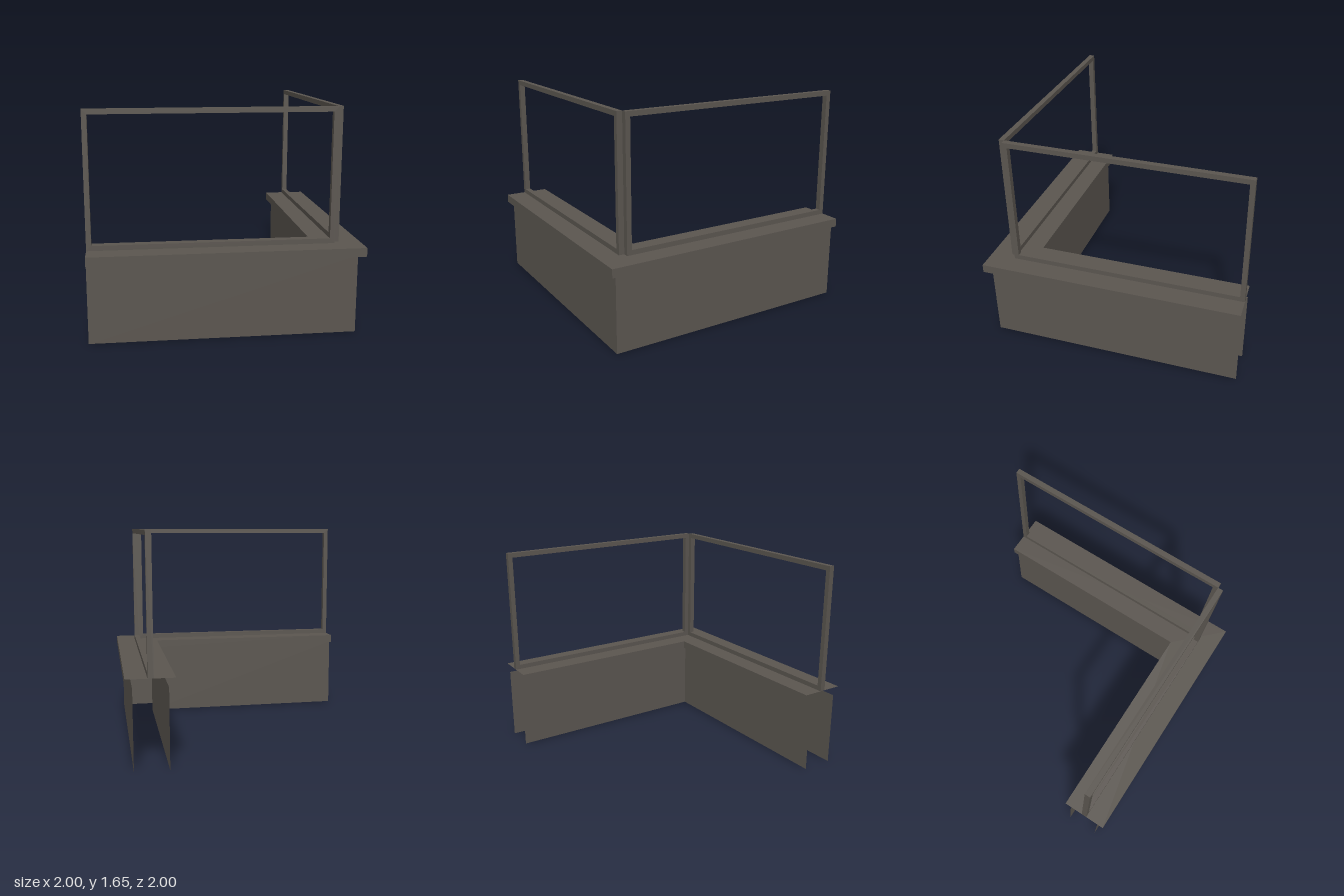
import * as THREE from 'three';

const LEDGE_Y = 0.59, TOP_Y = 0.655, FRAME_TOP = 1.655;

// L-shaped band: sweeps the segment (d0,y0)-(d1,y1) along the front run and the side run,
// where d is the distance of the band's corner from the centre
function cornerBand(d0, y0, d1, y1) {
  const path = d => [[-1, d], [d, d], [d, -1]];
  const p = path(d0), q = path(d1), pos = [];
  for (let i = 0; i < 2; i++) {
    const a = [p[i][0], y0, p[i][1]], b = [p[i + 1][0], y0, p[i + 1][1]];
    const c = [q[i + 1][0], y1, q[i + 1][1]], e = [q[i][0], y1, q[i][1]];
    pos.push(...a, ...b, ...c, ...a, ...c, ...e);
  }
  const g = new THREE.BufferGeometry();
  g.setAttribute('position', new THREE.Float32BufferAttribute(pos, 3));
  g.computeVertexNormals();
  return g;
}

// Rectangular window frame in the xy plane, running from x = -1 to x = 0.8
function frameGeometry() {
  const bar = 0.037, x0 = -1, x1 = 0.803, depth = 0.042;
  const rect = (T, l, b, r, t) => new T([[l, b], [r, b], [r, t], [l, t]].map(v => new THREE.Vector2(...v)));
  const shape = rect(THREE.Shape, x0, TOP_Y, x1, FRAME_TOP);
  shape.holes.push(rect(THREE.Path, x0 + bar, TOP_Y + bar, x1 - bar, FRAME_TOP - bar));
  return new THREE.ExtrudeGeometry(shape, { depth, bevelEnabled: false }).translate(0, 0, x1);
}

export function createModel() {
  const model = new THREE.Group();
  const color = 0x5b5650;
  const bronze = new THREE.MeshStandardMaterial({ color });
  bronze.name = 'darkBronze';
  const sheet = new THREE.MeshStandardMaterial({ color, side: THREE.DoubleSide });
  sheet.name = 'darkBronzeSheet';

  const add = (name, geometry, material) => {
    const mesh = new THREE.Mesh(geometry, material);
    mesh.name = name;
    model.add(mesh);
    return mesh;
  };

  // Thin walls, open at the ends and below
  add('outerWall', cornerBand(0.95, 0, 0.95, LEDGE_Y), sheet);
  add('innerWall', cornerBand(0.70, LEDGE_Y, 0.70, 0), sheet);

  // Hollow sill cap overhanging both walls
  add('sillTop', cornerBand(1, TOP_Y, 0.65, TOP_Y), sheet);
  add('outerSillLip', cornerBand(1, LEDGE_Y, 1, TOP_Y), bronze);
  add('outerSillUnderside', cornerBand(0.95, LEDGE_Y, 1, LEDGE_Y), bronze);
  add('innerSillLip', cornerBand(0.65, TOP_Y, 0.65, LEDGE_Y), bronze);
  add('innerSillUnderside', cornerBand(0.65, LEDGE_Y, 0.70, LEDGE_Y), bronze);

  // Two window frames meeting edge to edge at the corner
  add('frontFrame', frameGeometry(), bronze);
  add('sideFrame', frameGeometry().rotateY(Math.PI / 2).scale(1, 1, 1), bronze)
    .geometry.scale(1, 1, -1);
  // Restore the face order after mirroring
  const side = model.getObjectByName('sideFrame').geometry;
  for (const key of ['position', 'normal', 'uv']) {
    const at = side.attributes[key], n = at.itemSize;
    for (let i = 0; i < at.count; i += 3)
      for (let k = 0; k < n; k++) {
        const t = at.array[(i + 1) * n + k];
        at.array[(i + 1) * n + k] = at.array[(i + 2) * n + k];
        at.array[(i + 2) * n + k] = t;
      }
  }
  return model;
}
